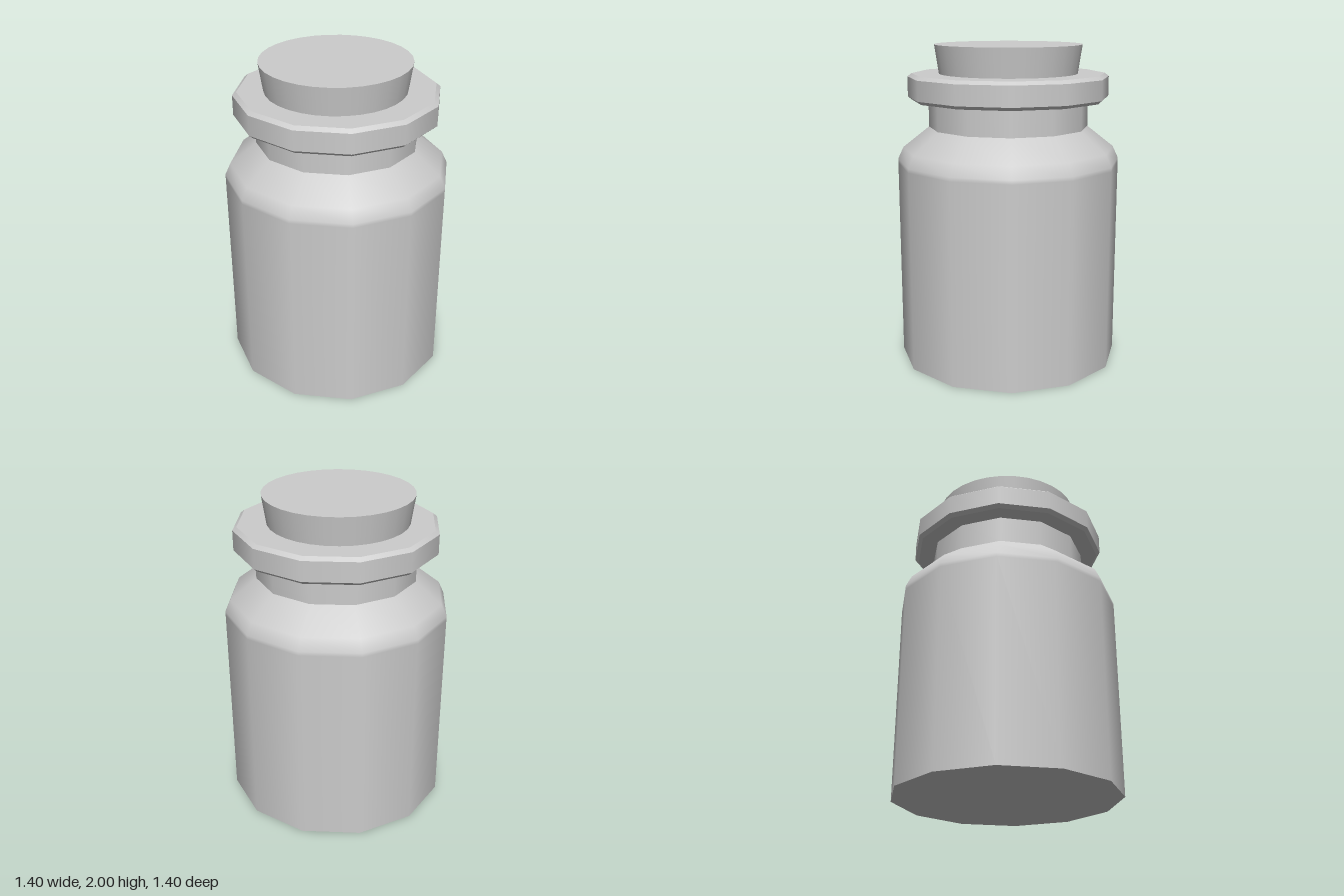
import * as THREE from 'three';

const glassGrey = new THREE.MeshStandardMaterial({ color: 0xcccccc });
glassGrey.name = 'plain grey';

// Each section is a smooth run of [radius, height] points; edges between sections stay sharp.
function turned(name, sides, sections) {
  const part = new THREE.Group();
  part.name = name;
  sections.forEach((points, i) => {
    const profile = points.map(([r, y]) => new THREE.Vector2(r, y));
    const mesh = new THREE.Mesh(new THREE.LatheGeometry(profile, sides), glassGrey);
    mesh.name = `${name}Surface${i + 1}`;
    part.add(mesh);
  });
  return part;
}

export function createModel() {
  const jar = new THREE.Group();
  jar.name = 'jar';

  // Twelve-sided body: flat base, straight wall and soft shoulder
  jar.add(turned('body', 12, [
    [[0, 0], [0.7, 0]],
    [[0.7, 0], [0.7, 1.26], [0.7, 1.285], [0.665, 1.36], [0.5, 1.49]],
  ]));

  // Straight neck
  jar.add(turned('neck', 12, [[[0.5, 1.49], [0.5, 1.67]]]));

  // Bevelled rim around the mouth
  jar.add(turned('rim', 12, [
    [[0.5, 1.66], [0.605, 1.66]],
    [[0.605, 1.66], [0.628, 1.68]],
    [[0.628, 1.68], [0.628, 1.803]],
    [[0.628, 1.803], [0.603, 1.823]],
    [[0.603, 1.823], [0, 1.823]],
  ]));

  // Round tapered stopper, slightly off centre
  const stopper = turned('stopper', 32, [
    [[0.433, 1.82], [0.46, 2]],
    [[0.46, 2], [0, 2]],
  ]);
  stopper.position.x = -0.01;
  jar.add(stopper);

  return jar;
}
